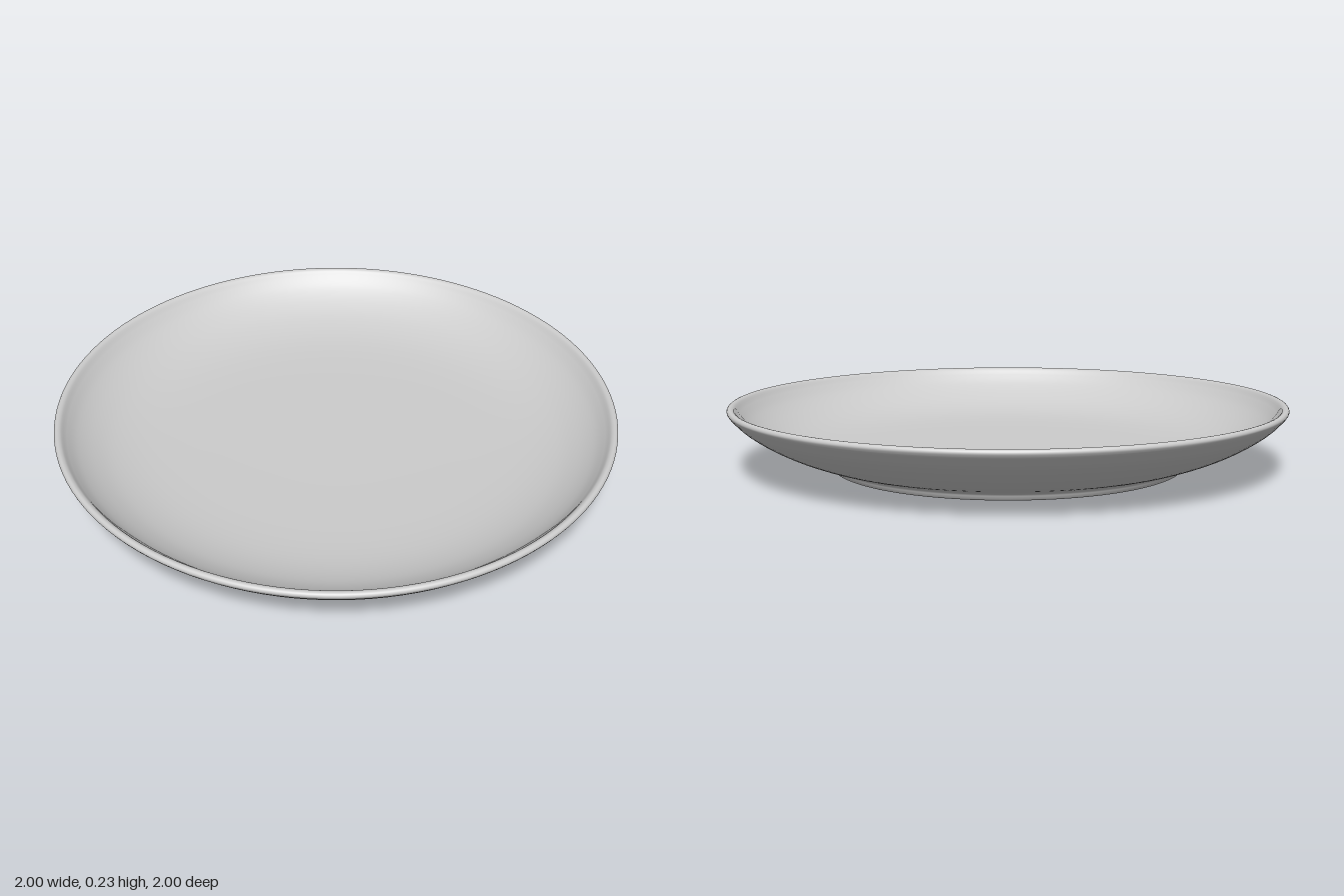
import * as THREE from 'three';

const curve = (pts, n) =>
  new THREE.SplineCurve(pts.map(([x, y]) => new THREE.Vector2(x, y))).getPoints(n);

export function createModel() {
  const model = new THREE.Group();
  const material = new THREE.MeshStandardMaterial({ color: 0xcccccc });

  // Each section runs on from the last: underside centre, out, over the rim, back in
  const recess = curve([[0, 0.035], [0.3, 0.035], [0.56, 0.035]], 6);
  const footRing = curve([
    [0.575, 0.034], [0.588, 0.026], [0.598, 0.01], [0.608, 0.001], [0.62, 0],
    [0.632, 0.002], [0.639, 0.012], [0.645, 0.023], [0.66, 0.031]
  ], 32);
  const outerWall = curve([
    [0.665, 0.033], [0.74, 0.055], [0.82, 0.087], [0.89, 0.124], [0.95, 0.165], [0.99, 0.204]
  ], 24);
  const rim = curve([
    [0.994, 0.209], [1, 0.22], [0.997, 0.229], [0.988, 0.233], [0.977, 0.229], [0.968, 0.219]
  ], 20);
  const bowl = curve([
    [0.962, 0.211], [0.925, 0.174], [0.87, 0.137], [0.8, 0.105], [0.71, 0.082],
    [0.6, 0.07], [0.45, 0.065], [0.25, 0.063], [0, 0.063]
  ], 40);

  const profile = [...recess, ...footRing, ...outerWall, ...rim, ...bowl];
  profile[0].x = profile[profile.length - 1].x = 0;

  const plate = new THREE.Mesh(new THREE.LatheGeometry(profile, 128), material);
  plate.name = 'plate';
  model.add(plate);
  return model;
}
